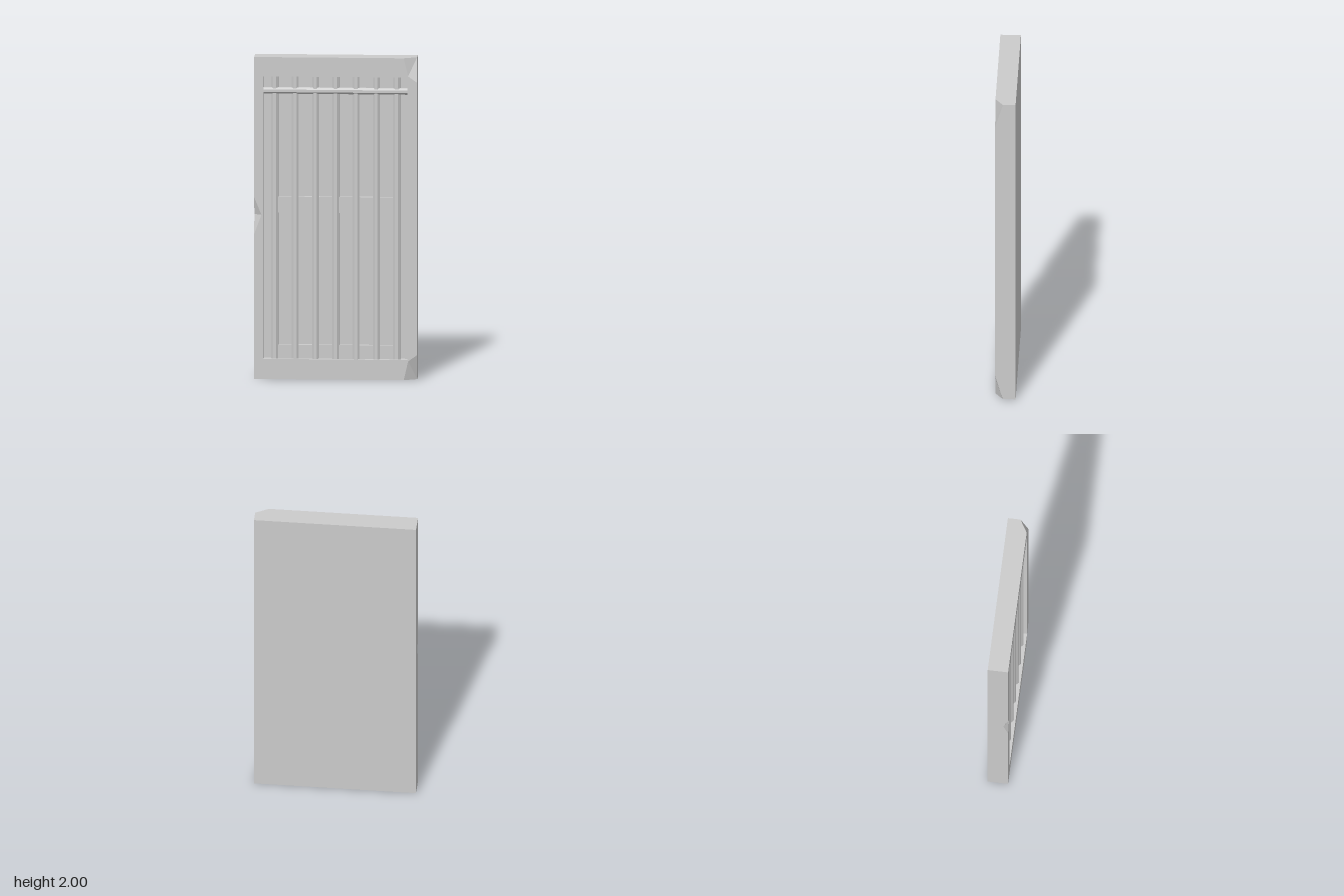
import * as THREE from 'three';

const W = 0.5, H = 2, F = 0.063, B = -0.063;        // half width, height, front and back z
const HX = 0.442, Y0 = 0.125, Y1 = 1.88, PZ = 0.01; // opening and recessed panel depth
const mat = new THREE.MeshStandardMaterial({ color: 0xcccccc, flatShading: true });

// Flat polygon fanned from its first point, turned to face the direction `out`
function facet(name, points, out) {
  const p = points.map((a) => new THREE.Vector3(...a));
  const pos = [];
  for (let i = 1; i < p.length - 1; i++) {
    const t = [p[0], p[i], p[i + 1]];
    const n = t[1].clone().sub(t[0]).cross(t[2].clone().sub(t[0]));
    if (n.dot(new THREE.Vector3(...out)) < 0) t.reverse();
    t.forEach((v) => pos.push(v.x, v.y, v.z));
  }
  const g = new THREE.BufferGeometry();
  g.setAttribute('position', new THREE.Float32BufferAttribute(pos, 3));
  g.computeVertexNormals();
  const m = new THREE.Mesh(g, mat);
  m.name = name;
  return m;
}

function box(name, w, h, d, x, y, z) {
  const m = new THREE.Mesh(new THREE.BoxGeometry(w, h, d), mat);
  m.position.set(x, y, z);
  m.name = name;
  return m;
}

// Eight-sided rod with a flat side to the front
function rod(name, r, length) {
  const g = new THREE.CylinderGeometry(r, r, length, 8).rotateY(Math.PI / 8);
  const m = new THREE.Mesh(g, mat);
  m.name = name;
  return m;
}

function createFrame() {
  const frame = new THREE.Group();
  frame.name = 'frame';

  // Front face: outline follows the chipped edges, with the opening cut out
  const face = new THREE.Shape([
    [-W, 0], [0.42, 0], [0.447, 0.117], [W, 0.155], [W, 1.85], [0.447, 1.888],
    [0.42, H], [-W, H], [-W, 1.13], [-0.455, 1.02], [-W, 0.9],
  ].map((a) => new THREE.Vector2(...a)));
  face.holes.push(new THREE.Path([
    [-HX, Y0], [-HX, Y1], [HX, Y1], [HX, Y0],
  ].map((a) => new THREE.Vector2(...a))));
  const front = new THREE.Mesh(new THREE.ShapeGeometry(face), mat);
  front.position.z = F;
  front.name = 'frontFace';
  frame.add(front);

  // Outer sides and back
  frame.add(
    facet('back', [[-W, 0, B], [W, 0, B], [W, H, B], [-W, H, B]], [0, 0, -1]),
    facet('rightSide', [[-W, 1.02, 0.033], [-W, 1.13, F], [-W, H, F], [-W, H, B],
      [-W, 0, B], [-W, 0, F], [-W, 0.9, F]], [-1, 0, 0]),
    facet('leftSide', [[W, 0, B], [W, 0, 0.015], [W, 0.155, F], [W, 1.85, F],
      [W, H, 0.015], [W, H, B]], [1, 0, 0]),
  );
  for (const [name, y, dir] of [['top', H, 1], ['bottom', 0, -1]]) {
    frame.add(facet(name, [[-W, y, B], [-W, y, F], [0.42, y, F], [W, y, 0.015], [W, y, B]], [0, dir, 0]));
  }

  // Chipped corners and chipped edge
  for (const [y, inner, side] of [[H, 1.888, 1.85], [0, 0.117, 0.155]]) {
    const deep = [W, y, 0.015], mid = [0.447, inner, F];
    frame.add(
      facet('cornerChip', [[0.42, y, F], mid, deep], [0.3, 0, 1]),
      facet('cornerChip', [mid, [W, side, F], deep], [0.3, 0, 1]),
    );
  }
  for (const y of [0.9, 1.13]) {
    frame.add(facet('edgeChip', [[-W, y, F], [-0.455, 1.02, F], [-W, 1.02, 0.033]], [-0.3, 0, 1]));
  }

  // Recess walls and panel
  for (const s of [-1, 1]) {
    const x = s * HX, y = s < 0 ? Y0 : Y1;
    frame.add(
      facet('recessSide', [[x, Y0, F], [x, Y1, F], [x, Y1, PZ], [x, Y0, PZ]], [-s, 0, 0]),
      facet('recessEnd', [[-HX, y, F], [HX, y, F], [HX, y, PZ], [-HX, y, PZ]], [0, -s, 0]),
    );
  }
  frame.add(facet('panel', [[-HX, Y0, PZ], [HX, Y0, PZ], [HX, Y1, PZ], [-HX, Y1, PZ]], [0, 0, 1]));
  return frame;
}

export function createModel() {
  const model = new THREE.Group();
  model.name = 'barredDoor';
  model.add(createFrame());

  // Upright bars
  for (let i = -3; i <= 3; i++) {
    const bar = rod('bar', 0.0235, Y1 - Y0);
    bar.position.set(i * 0.125, (Y0 + Y1) / 2, 0.027);
    model.add(bar);
  }

  // Round rail across the top of the bars
  const rail = rod('topRail', 0.021, 2 * HX);
  rail.rotation.z = Math.PI / 2;
  rail.position.set(0, 1.79, 0.035);
  model.add(rail);

  // Flat straps behind the bars
  model.add(
    box('middleStrap', 0.72, 0.1, 0.03, 0, 1.08, 0.02),
    box('bottomStrap', 0.72, 0.085, 0.03, 0, Y0 + 0.0425, 0.02),
  );
  return model;
}
